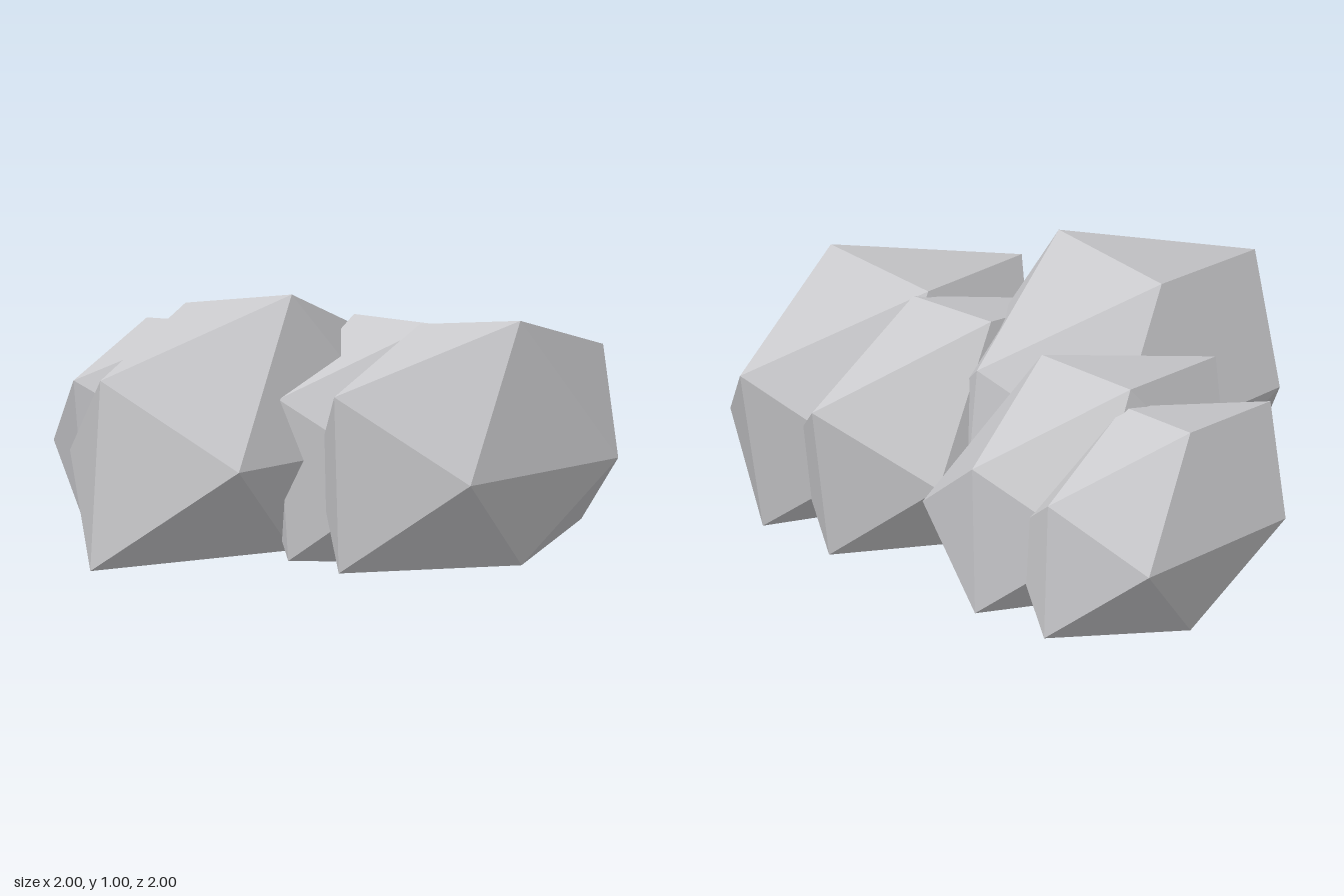
import * as THREE from 'three';

// Each rock is a stretched icosahedron, described by where its corners sit:
// midY, midLow, midHigh: widest corners on the -x and +x sides, as [x, back z, front z]
// top:    x, y on the -x side, then x, y on the +x side
// bottom: x on the -x side, x on the +x side, y
// ridgeZ: z of the top and bottom edges
// tipX:   x of the front and back tips
// upperTip / lowerTip: back y, back z, front y, front z
const ROCKS = [
  {
    name: 'frontRock',
    midY: 0.45, midLow: [-0.38, -0.25, 0.64], midHigh: [0.395, -0.25, 0.675],
    top: [-0.22, 0.925, 0.25, 1.0], bottom: [-0.26, 0.25, 0.109], ridgeZ: 0.205,
    tipX: 0, upperTip: [0.765, -0.51, 0.765, 0.945], lowerTip: [0.109, -0.59, 0.109, 1.0],
  },
  {
    name: 'outerLeftRock',
    midY: 0.4, midLow: [0.295, -0.715, 0.125], midHigh: [1.0, -0.655, 0.155],
    top: [0.445, 0.86, 0.89, 0.915], bottom: [0.49, 0.895, 0.064], ridgeZ: -0.255,
    tipX: 0.655, upperTip: [0.72, -1.0, 0.715, 0.475], lowerTip: [0.125, -0.88, 0.098, 0.45],
  },
  {
    name: 'innerLeftRock',
    midY: 0.38, midLow: [0.005, -0.705, 0.09], midHigh: [0.67, -0.705, 0.11],
    top: [0.11, 0.855, 0.465, 0.855], bottom: [0.14, 0.545, 0.033], ridgeZ: -0.31,
    tipX: 0.335, upperTip: [0.665, -0.99, 0.665, 0.385], lowerTip: [0.11, -0.9, 0.095, 0.33],
  },
  {
    name: 'innerRightRock',
    midY: 0.37, midLow: [-0.71, -0.745, -0.01], midHigh: [-0.005, -0.8, 0.04],
    top: [-0.575, 0.805, -0.17, 0.825], bottom: [-0.54, -0.165, 0.034], ridgeZ: -0.365,
    tipX: -0.375, upperTip: [0.64, -0.965, 0.665, 0.31], lowerTip: [0.1, -0.95, 0.095, 0.285],
  },
  {
    name: 'outerRightRock',
    midY: 0.34, midLow: [-1.0, -0.755, -0.04], midHigh: [-0.355, -0.755, -0.07],
    top: [-0.875, 0.735, -0.57, 0.75], bottom: [-0.875, -0.5, 0], ridgeZ: -0.395,
    tipX: -0.695, upperTip: [0.58, -0.935, 0.61, 0.23], lowerTip: [0.095, -0.955, 0.095, 0.165],
  },
];

// Move every icosahedron corner to its place on the rock, chosen by its signs
function rockGeometry(r) {
  const geo = new THREE.IcosahedronGeometry(1, 0);
  const pos = geo.attributes.position;
  for (let i = 0; i < pos.count; i++) {
    const x = pos.getX(i), y = pos.getY(i), z = pos.getZ(i);
    const high = x > 0 ? 1 : 0, front = z > 0 ? 1 : 0;
    if (Math.abs(y) < 0.01) {
      const mid = high ? r.midHigh : r.midLow;
      pos.setXYZ(i, mid[0], r.midY, mid[1 + front]);
    } else if (Math.abs(x) < 0.01) {
      const tip = y > 0 ? r.upperTip : r.lowerTip;
      pos.setXYZ(i, r.tipX, tip[front * 2], tip[front * 2 + 1]);
    } else if (y > 0) {
      pos.setXYZ(i, r.top[high * 2], r.top[high * 2 + 1], r.ridgeZ);
    } else {
      pos.setXYZ(i, r.bottom[high], r.bottom[2], r.ridgeZ);
    }
  }
  geo.computeVertexNormals();
  return geo;
}

export function createModel() {
  const group = new THREE.Group();
  group.name = 'rockCluster';
  const stone = new THREE.MeshStandardMaterial({ color: 0xcbcbce, flatShading: true });
  stone.name = 'pale grey stone';
  for (const rock of ROCKS) {
    const mesh = new THREE.Mesh(rockGeometry(rock), stone);
    mesh.name = rock.name;
    group.add(mesh);
  }
  return group;
}
